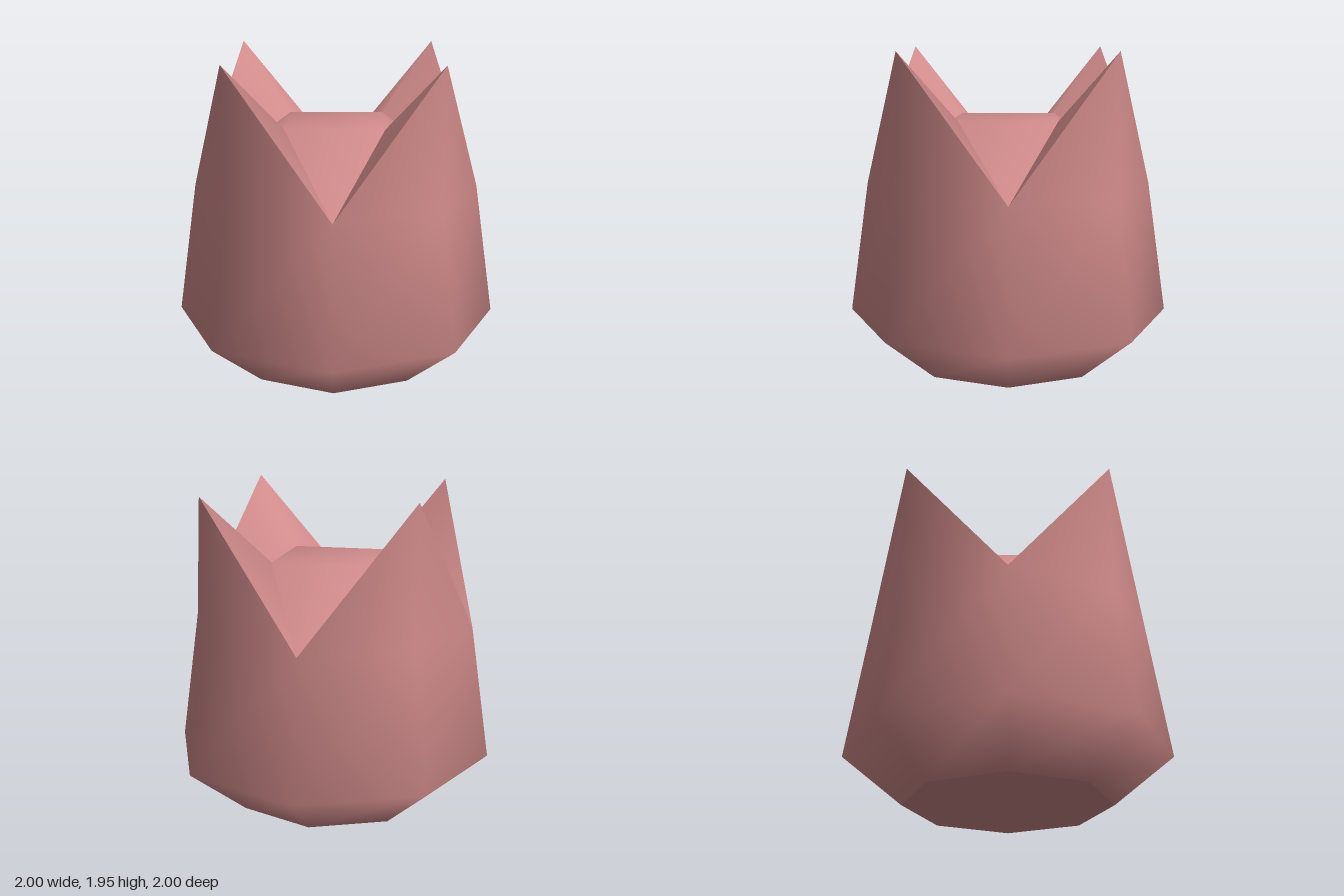
import * as THREE from 'three';

// Point on an eight-sided ring; step 0 faces +z, even steps carry petal tips
const ring = (step, radius, y) => {
  const a = (step * Math.PI) / 4;
  return [Math.sin(a) * radius, y, Math.cos(a) * radius];
};

// Smooth-shaded mesh from points and triangles that share them
function surface(name, points, faces, material) {
  const geometry = new THREE.BufferGeometry();
  geometry.setAttribute('position', new THREE.Float32BufferAttribute(points.flat(), 3));
  geometry.setIndex(faces.flat());
  geometry.computeVertexNormals();
  const mesh = new THREE.Mesh(geometry, material);
  mesh.name = name;
  return mesh;
}

export function createModel() {
  const pink = new THREE.MeshStandardMaterial({ color: 0xd08a8a, side: THREE.DoubleSide });
  pink.name = 'dusty pink';
  const group = new THREE.Group();
  group.name = 'tulipBloom';

  const profile = [[0.63, 0], [1, 0.3], [0.88, 1.12]];
  const tip = (i) => ring(i, 0.88, 1.95);
  const valley = (i) => ring(i, 0.88, 1.12);
  const crown = (i) => ring(i, 0.42, 1.53);

  // Outer cup, with a pointed petal above every second column
  const points = [];
  const faces = [];
  for (const [r, y] of profile) for (let i = 0; i < 8; i++) points.push(ring(i, r, y));
  for (let level = 0; level < 2; level++) {
    for (let i = 0; i < 8; i++) {
      const a = level * 8 + i;
      const b = level * 8 + ((i + 1) % 8);
      faces.push([a, b, b + 8], [a, b + 8, a + 8]);
    }
  }
  for (let i = 0; i < 8; i += 2) {
    const t = points.push(tip(i)) - 1;
    faces.push([16 + ((i + 7) % 8), 16 + i, t], [16 + i, 16 + i + 1, t]);
  }
  group.add(surface('outerPetals', points, faces, pink));

  // Inner face of each petal, folded along its middle
  for (let i = 0; i < 8; i += 2) {
    group.add(surface('innerPetal', [tip(i), crown(i), valley(i - 1), valley(i + 1)],
      [[0, 1, 2], [0, 3, 1]], pink));
  }

  // Closed heart of the flower: flat square top sloping down to the valleys
  const heart = [];
  for (let i = 0; i < 8; i += 2) heart.push(crown(i), valley(i + 1));
  const heartFaces = [[0, 2, 4], [0, 4, 6]];
  for (let i = 0; i < 8; i += 2) heartFaces.push([i, i + 1, (i + 2) % 8]);
  group.add(surface('heart', heart, heartFaces, pink));

  // Flat underside
  const base = new THREE.Mesh(new THREE.CircleGeometry(0.63, 8), pink);
  base.name = 'base';
  base.rotation.x = Math.PI / 2;
  group.add(base);

  return group;
}
